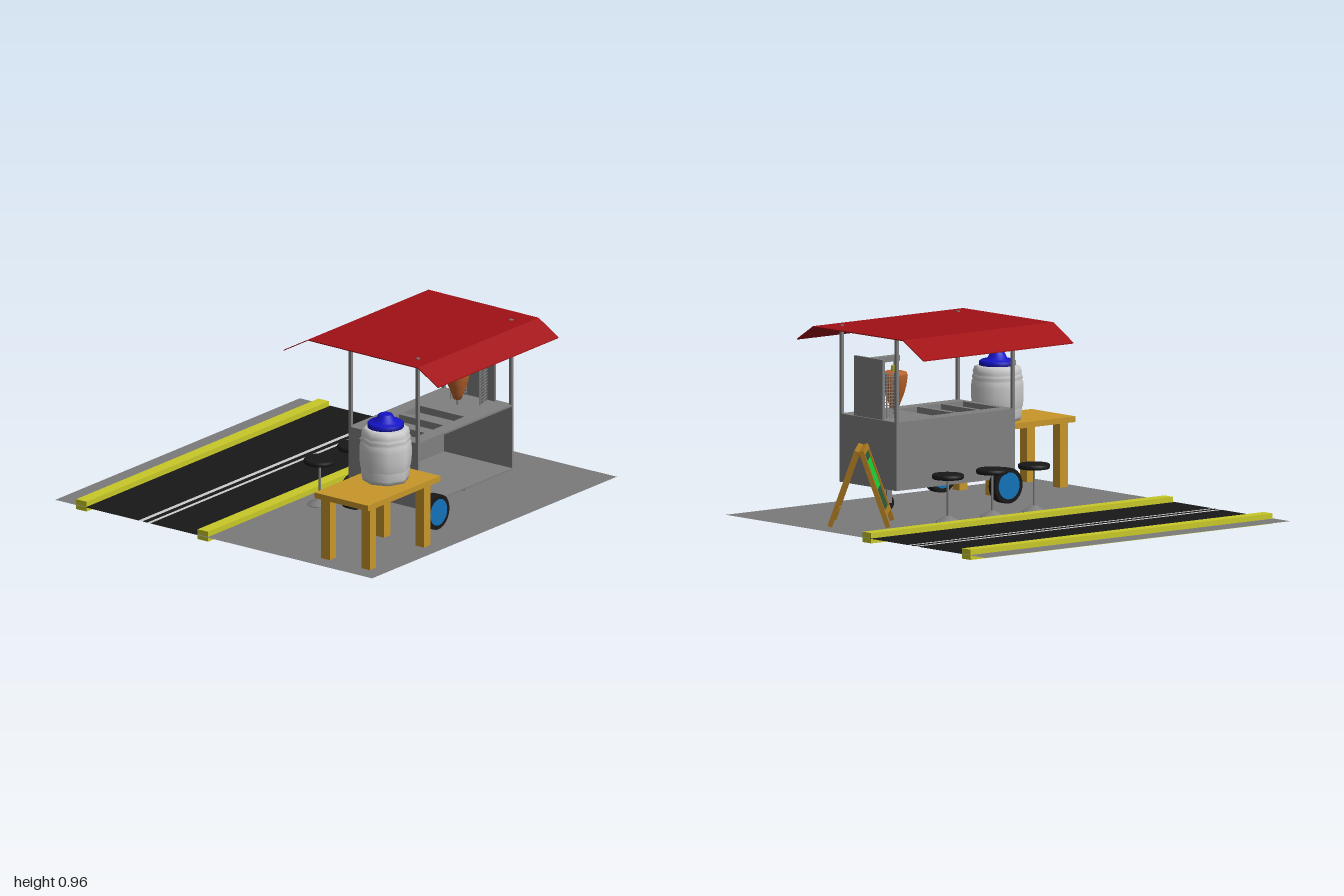
import * as THREE from 'three';

const mats = {};
const mat = (color, double) => {
  const key = color + (double ? 'd' : '');
  return mats[key] ??= new THREE.MeshStandardMaterial({
    color, side: double ? THREE.DoubleSide : THREE.FrontSide,
  });
};
const GREY = 0xcccccc, STEEL = 0x808080, PAVING = 0x7a7a7a, BLACK = 0x181818, YELLOW = 0xc8c828;
const WOOD = 0xc8962a, DARKWOOD = 0xa87820, RED = 0xa01014, BLUE = 0x1414c8;

export function createModel() {
  const model = new THREE.Group();

  const group = (name, parent = model) => {
    const g = new THREE.Group();
    g.name = name;
    parent.add(g);
    return g;
  };
  const add = (parent, name, geo, color, x = 0, y = 0, z = 0, double = false) => {
    const m = new THREE.Mesh(geo, mat(color, double));
    m.name = name;
    m.position.set(x, y, z);
    parent.add(m);
    return m;
  };
  // Box given by its lower and upper limits on each axis
  const box = (parent, name, color, x0, x1, y0, y1, z0, z1) =>
    add(parent, name, new THREE.BoxGeometry(x1 - x0, y1 - y0, z1 - z0), color,
      (x0 + x1) / 2, (y0 + y1) / 2, (z0 + z1) / 2);
  const lathe = (pts, sides) =>
    new THREE.LatheGeometry(pts.map(([r, y]) => new THREE.Vector2(r, y)), sides);
  const flat = (parent, name, color, x0, x1, y) =>
    add(parent, name, new THREE.PlaneGeometry(x1 - x0, 2).rotateX(-Math.PI / 2), color,
      (x0 + x1) / 2, y, 0, true);

  // Street: pavements, road, centre lines and curbs
  const street = group('street');
  const G = 0.025;
  flat(street, 'farPavement', PAVING, -1, -0.81, G);
  flat(street, 'pavement', PAVING, -0.11, 1, G);
  flat(street, 'road', BLACK, -0.81, -0.475, G);
  flat(street, 'roadMiddle', BLACK, -0.45, -0.42, G);
  flat(street, 'road', BLACK, -0.4, -0.11, G);
  flat(street, 'centreLine', GREY, -0.475, -0.45, G);
  flat(street, 'centreLine', GREY, -0.42, -0.4, G);
  for (const x of [-0.875, -0.108]) box(street, 'curb', YELLOW, x, x + 0.066, 0, 0.052, -0.99, 0.99);

  // Cart body, open on the vendor's side
  const cart = group('cart');
  const X0 = 0.335, X1 = 0.775, Z0 = -0.445, Z1 = 0.332;
  box(cart, 'customerWall', STEEL, X0, X0 + 0.01, 0.165, 0.5, Z0, Z1);
  box(cart, 'frontWall', STEEL, X0 + 0.01, X1, 0.165, 0.5, Z1 - 0.01, Z1);
  box(cart, 'backWall', STEEL, X0 + 0.01, X1, 0.165, 0.5, Z0, Z0 + 0.01);
  box(cart, 'floor', STEEL, X0 + 0.01, X1, 0.165, 0.175, Z0 + 0.01, Z1 - 0.01);

  // Counter with openings and hanging food trays
  const rect = (Kind, x0, x1, y0, y1) => new Kind([
    [x0, y0], [x1, y0], [x1, y1], [x0, y1]].map(p => new THREE.Vector2(...p)));
  const top = rect(THREE.Shape, X0, X1, -Z1, -Z0);
  const trays = [[0.18, 0.3], [0.03, 0.155], [-0.14, 0]];
  const tx0 = 0.42, tx1 = 0.7, t = 0.004;
  for (const [a, b] of trays) {
    top.holes.push(rect(THREE.Path, tx0, tx1, -b, -a));
    const tray = group('foodTray', cart);
    box(tray, 'trayBottom', STEEL, tx0, tx1, 0.47, 0.474, a, b);
    for (const x of [tx0 - t, tx1]) box(tray, 'traySide', STEEL, x, x + t, 0.47, 0.503, a, b);
    for (const z of [a - t, b]) box(tray, 'trayEnd', STEEL, tx0, tx1, 0.47, 0.503, z, z + t);
  }
  add(cart, 'counter', new THREE.ExtrudeGeometry(top, { depth: 0.01, bevelEnabled: false })
    .rotateX(-Math.PI / 2), STEEL, 0, 0.5, 0);

  // Push handle
  box(cart, 'handleBar', STEEL, 0.45, 0.63, 0.47, 0.488, 0.382, 0.4);
  for (const x of [0.45, 0.612]) box(cart, 'handleArm', STEEL, x, x + 0.018, 0.47, 0.488, Z1, 0.382);

  // Roof posts and folded awning
  for (const x of [X0, X1 - 0.016])
    for (const z of [Z0, Z1 - 0.016])
      box(cart, 'roofPost', STEEL, x, x + 0.016, 0.51, x > 0.5 ? 0.958 : 0.951, z, z + 0.016);
  const fold = [[0, 0.87], [0.155, 0.956], [0.85, 0.952], [0.975, 0.875]];
  const roofLine = new THREE.Shape([...fold, ...fold.map(([x, y]) => [x, y - 0.005]).reverse()]
    .map(p => new THREE.Vector2(...p)));
  add(cart, 'awning', new THREE.ExtrudeGeometry(roofLine, { depth: 0.985, bevelEnabled: false }),
    RED, 0, 0, -0.555);

  // Wheels: two large and one caster
  const wheel = (name, x, y, z, r, w, hub) => {
    const g = group(name, cart);
    g.position.set(x, y, z);
    add(g, 'tyre', new THREE.CylinderGeometry(r, r, w, 28).rotateZ(Math.PI / 2), BLACK);
    if (hub) add(g, 'hub', new THREE.CylinderGeometry(hub, hub, w + 0.006, 28).rotateZ(Math.PI / 2), 0x1272b8);
  };
  wheel('largeWheel', 0.3, 0.135, 0.24, 0.09, 0.05, 0.068);
  wheel('largeWheel', 0.807, 0.135, 0.24, 0.09, 0.05, 0.068);
  wheel('casterWheel', 0.535, 0.075, -0.34, 0.04, 0.02);
  for (const x of [0.517, 0.548]) box(cart, 'casterFork', STEEL, x, x + 0.005, 0.075, 0.165, -0.355, -0.32);

  // Vertical grill: back plate, wire guards, arm, spit and meat
  const grill = group('verticalGrill', cart);
  box(grill, 'backPlate', STEEL, 0.455, 0.675, 0.51, 0.812, -0.435, -0.42);
  box(grill, 'spitArm', STEEL, 0.545, 0.583, 0.782, 0.81, -0.42, -0.245);
  const guard = (x, angle) => {
    const g = group('wireGuard', grill);
    g.position.set(x, 0.51, -0.42);
    g.rotation.y = angle;
    const n = 7, m = 14, w = 0.1, h = 0.225;
    for (let i = 0; i <= n; i++) box(g, 'wire', STEEL, -0.002, 0.002, 0, h, w * i / n - 0.002, w * i / n + 0.002);
    for (let j = 0; j <= m; j++) box(g, 'wire', STEEL, -0.002, 0.002, h * j / m - 0.002, h * j / m + 0.002, 0, w);
  };
  guard(0.5, -0.25);
  guard(0.63, 0.25);
  add(grill, 'spit', new THREE.CylinderGeometry(0.004, 0.004, 0.28, 8), STEEL, 0.56, 0.645, -0.268);
  add(grill, 'meat', lathe([[0, 0.54], [0.02, 0.542], [0.032, 0.575], [0.048, 0.615], [0.06, 0.66],
    [0.067, 0.71], [0.062, 0.725], [0.04, 0.732], [0, 0.733]], 16), 0xb8622c, 0.56, 0, -0.268);
  add(grill, 'pineapple', new THREE.CylinderGeometry(0.018, 0.018, 0.028, 12), YELLOW, 0.56, 0.746, -0.268);

  // Three stools along the customer side
  for (const z of [0.245, -0.03, -0.32]) {
    const s = group('stool');
    s.position.set(0.087, 0, z);
    add(s, 'seat', lathe([[0, 0.243], [0.076, 0.243], [0.081, 0.25], [0.081, 0.262], [0.074, 0.268],
      [0, 0.268]], 20), BLACK);
    add(s, 'pole', new THREE.CylinderGeometry(0.006, 0.006, 0.21, 10), STEEL, 0, 0.142, 0);
    add(s, 'base', lathe([[0, 0.023], [0.064, 0.023], [0.062, 0.03], [0.012, 0.056], [0, 0.058]], 20), STEEL);
  }

  // Table
  const table = group('table');
  box(table, 'tableTop', WOOD, 0.603, 0.942, 0.355, 0.384, 0.367, 0.957);
  for (const x of [0.615, 0.868])
    for (const z of [0.422, 0.865]) box(table, 'tableLeg', WOOD, x, x + 0.054, 0.03, 0.355, z, z + 0.052);

  // Eight-sided drinks barrel with lid
  const barrel = group('barrel');
  barrel.position.set(0.757, 0.385, 0.575);
  add(barrel, 'barrelBody', lathe([[0, 0], [0.115, 0], [0.12, 0.02], [0.125, 0.06], [0.122, 0.066], [0.128, 0.072],
    [0.132, 0.12], [0.132, 0.17], [0.129, 0.2], [0.123, 0.206], [0.128, 0.214], [0.125, 0.23], [0.12, 0.236],
    [0.124, 0.244], [0.116, 0.27], [0.1, 0.278], [0, 0.278]], 8), GREY);
  add(barrel, 'lid', lathe([[0, 0.275], [0.092, 0.275], [0.092, 0.297], [0.082, 0.305], [0.052, 0.308],
    [0.036, 0.342], [0.03, 0.345], [0, 0.345]], 24), BLUE);

  // Folding pavement sign: two leaning framed boards
  const sign = group('foldingSign');
  sign.position.set(0.322, 0.405, -0.69);
  sign.rotation.y = -Math.PI / 4;
  for (const side of [1, -1]) {
    const leaf = group(side > 0 ? 'frontBoard' : 'backBoard', sign);
    leaf.rotation.order = 'YXZ';
    leaf.rotation.y = side > 0 ? 0 : Math.PI;
    leaf.rotation.x = -0.34;
    for (const x of [-0.14, 0.115]) box(leaf, 'leg', DARKWOOD, x, x + 0.025, -0.405, 0, 0, 0.024);
    box(leaf, 'topRail', DARKWOOD, -0.115, 0.115, -0.025, 0, 0, 0.024);
    box(leaf, 'bottomRail', DARKWOOD, -0.115, 0.115, -0.35, -0.325, 0, 0.024);
    box(leaf, 'panel', side > 0 ? 0x2c5436 : DARKWOOD, -0.115, 0.115, -0.325, -0.025, 0.008, 0.016);
    if (side > 0) box(leaf, 'greenNotice', 0x14c832, -0.1, 0.1, -0.215, -0.065, 0.016, 0.018);
  }
  return model;
}
